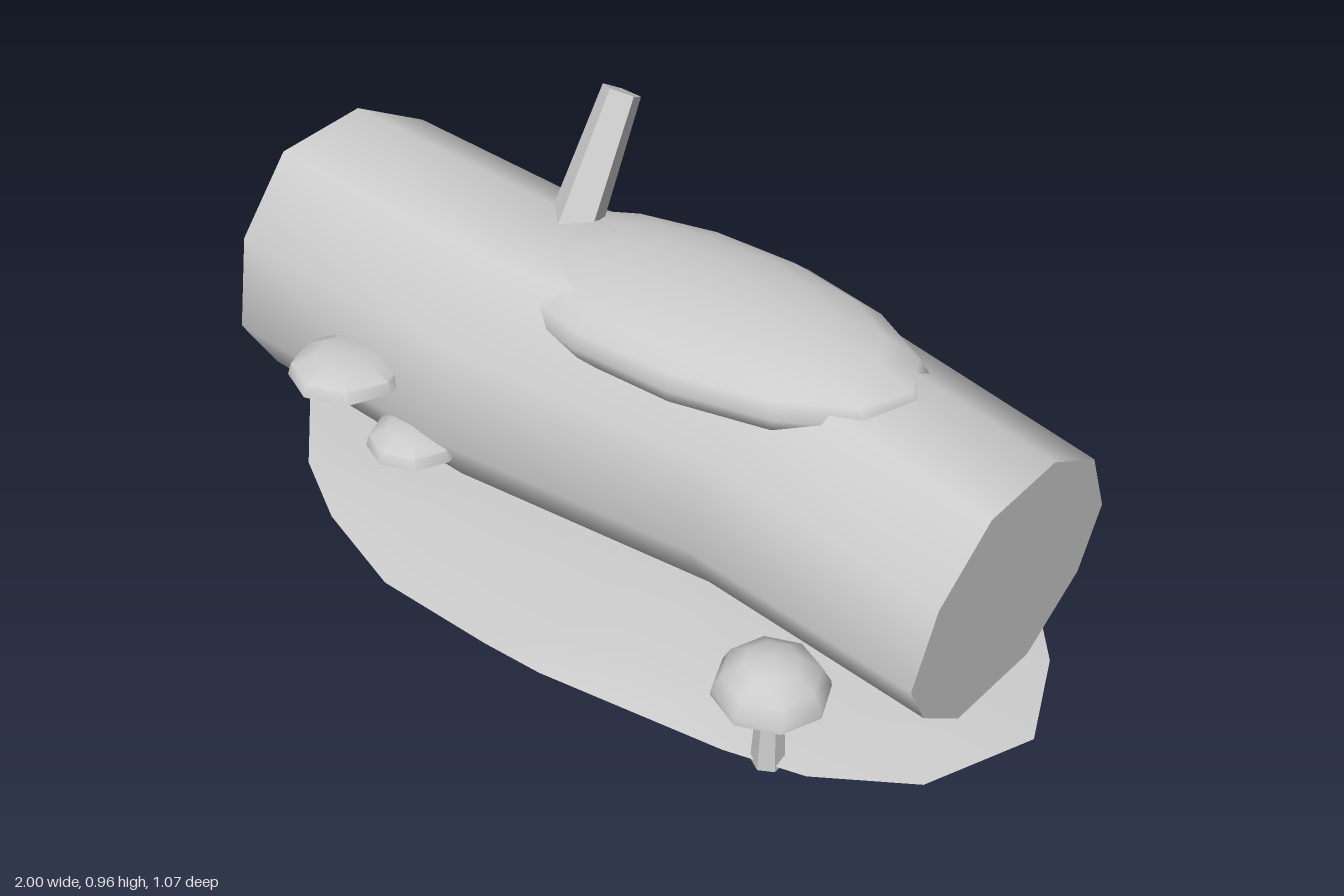
import * as THREE from 'three';
import { toCreasedNormals } from 'three/addons/utils/BufferGeometryUtils.js';

const grey = new THREE.MeshStandardMaterial({ color: 0xcccccc });
grey.name = 'stone grey';

function add(parent, name, geometry) {
  const mesh = new THREE.Mesh(geometry, grey);
  mesh.name = name;
  parent.add(mesh);
  return mesh;
}

function build(points, index) {
  const g = new THREE.BufferGeometry();
  g.setAttribute('position', new THREE.Float32BufferAttribute(points.flat(), 3));
  g.setIndex(index);
  g.computeVertexNormals();
  return g;
}

// Fan from a centre point to a closed ring; flip turns the face around
function fan(center, ring, flip) {
  const n = ring.length, index = [];
  for (let i = 0; i < n; i++) {
    const a = 1 + i, b = 1 + (i + 1) % n;
    index.push(0, ...(flip ? [b, a] : [a, b]));
  }
  return build([center, ...ring], index);
}

// Side strips between consecutive rings of n points
function stripIndex(ringCount, n) {
  const index = [];
  for (let s = 0; s < ringCount - 1; s++) {
    for (let i = 0; i < n; i++) {
      const a = s * n + i, b = s * n + (i + 1) % n;
      index.push(a, a + n, b, b, a + n, b + n);
    }
  }
  return index;
}

// Bent ten-sided log with tilted cut ends
function makeLog() {
  const log = new THREE.Group();
  log.name = 'log';
  // Uneven cross-section: angle in degrees, relative radius
  const outline = [
    [26, 0.95], [63, 1.01], [100, 0.99], [136, 0.98], [174, 1.01],
    [206, 1.01], [243, 1.04], [287, 1.02], [321, 0.97], [348, 1],
  ];
  // x, centre y, centre z, radius, end tilt by z, end tilt by y
  const sections = [
    [-0.905, 0.37, -0.01, 0.34, -0.085, -0.03],
    [-0.28, 0.385, 0.04, 0.335, 0, 0],
    [0.34, 0.37, -0.022, 0.325, 0, 0],
    [0.9, 0.33, 0.025, 0.297, -0.08, 0.08],
  ];
  const rings = sections.map(([x, cy, cz, r, tz, ty]) => outline.map(([deg, k]) => {
    const a = THREE.MathUtils.degToRad(deg);
    const y = r * k * Math.sin(a), z = r * k * Math.cos(a);
    return [x + tz * z + ty * y, cy + y, cz + z];
  }));
  add(log, 'bark', build(rings.flat(), stripIndex(4, outline.length)));
  add(log, 'rightCutEnd', fan(sections[0].slice(0, 3), rings[0], false));
  add(log, 'leftCutEnd', fan(sections[3].slice(0, 3), rings[3], true));
  return log;
}

// Low mound of soil with an uneven oval outline
function makeGround() {
  const ground = new THREE.Group();
  ground.name = 'ground';
  const outline = [
    [-1, 0.02], [-0.9, -0.16], [-0.72, -0.32], [-0.6, -0.4], [-0.33, -0.46], [0.05, -0.47],
    [0.3, -0.5], [0.48, -0.46], [0.8, -0.31], [0.92, -0.16], [1, 0.04], [0.9, 0.28],
    [0.72, 0.41], [0.55, 0.45], [0.33, 0.48], [0.14, 0.52], [0, 0.53], [-0.3, 0.52],
    [-0.55, 0.44], [-0.72, 0.35], [-0.92, 0.16],
  ];
  const n = outline.length;
  const loop = (s, y) => outline.map(([x, z]) => [x * s, y, z * s]);
  const rim = outline.map(([x, z], i) => [x, 0.018 + 0.008 * Math.sin(i * 1.7), z]);
  const points = [...rim, ...loop(0.82, 0.042), ...loop(0.45, 0.06), [0, 0.064, 0]];
  const index = stripIndex(3, n);
  for (let i = 0; i < n; i++) index.push(2 * n + i, 3 * n, 2 * n + (i + 1) % n);
  // Strips run inward from the rim, so reverse them to face up
  const up = new THREE.Vector3().crossVectors(
    new THREE.Vector3(...points[n]).sub(new THREE.Vector3(...points[0])),
    new THREE.Vector3(...points[1]).sub(new THREE.Vector3(...points[0])),
  ).y > 0;
  add(ground, 'soilTop', build(points, up ? index : index.reverse()));
  add(ground, 'soilUnderside', fan([0, 0, 0], rim, false));
  return ground;
}

// Profile points [radius, height] turned into a crisp-rimmed cap
function capGeometry(profile, sides) {
  const pts = profile.map(([r, y]) => new THREE.Vector2(r, y));
  return toCreasedNormals(new THREE.LatheGeometry(pts, sides), 0.95);
}

// Tapered post with flat faces
function post(top, bottom, height, sides) {
  return toCreasedNormals(new THREE.CylinderGeometry(top, bottom, height, sides), 0.5);
}

function makeMushroom(name, x, z, r, rimY, topY, stemR) {
  const m = new THREE.Group();
  m.name = name;
  m.position.set(x, 0, z);
  const h = topY - rimY;
  add(m, 'cap', capGeometry([
    [0, rimY - 0.035], [r * 0.45, rimY - 0.035], [r, rimY - 0.006], [r * 0.99, rimY + h * 0.08],
    [r * 0.83, rimY + h * 0.54], [r * 0.47, rimY + h * 0.89], [0, topY],
  ], 8));
  add(m, 'stem', post(stemR * 0.72, stemR, rimY - 0.02, 6)).position.y = rimY / 2;
  return m;
}

function makeShelf(parent, name, x, y, z, r) {
  const shelf = add(parent, name, capGeometry([
    [0, -0.042], [r * 0.45, -0.038], [r, -0.014], [r * 0.94, 0.012],
    [r * 0.55, 0.033], [0, 0.038],
  ], 8));
  shelf.position.set(x, y, z);
  shelf.rotation.x = -0.04;
}

export function createModel() {
  const model = new THREE.Group();
  model.name = 'fallenLog';
  model.add(makeGround(), makeLog());

  // Moss cushion along the top
  const moss = add(model, 'moss', new THREE.SphereGeometry(1, 14, 10));
  moss.scale.set(0.54, 0.106, 0.25);
  moss.position.set(0.125, 0.614, 0.002);
  moss.rotation.z = 0.02;

  // Broken branch stub leaning back
  const from = new THREE.Vector3(-0.225, 0.58, 0.025);
  const to = new THREE.Vector3(-0.208, 0.937, -0.17);
  const dir = to.clone().sub(from);
  const branch = add(model, 'branchStub', post(0.044, 0.065, dir.length(), 5));
  branch.position.copy(from).add(to).multiplyScalar(0.5);
  branch.quaternion.setFromUnitVectors(new THREE.Vector3(0, 1, 0), dir.normalize());

  // Mushrooms beside the log and shelf fungi on its front
  model.add(
    makeMushroom('frontMushroom', 0.63, 0.41, 0.115, 0.203, 0.28, 0.034),
    makeMushroom('backMushroom', 0.48, -0.405, 0.135, 0.258, 0.356, 0.036),
  );
  makeShelf(model, 'upperShelfFungus', -0.52, 0.398, 0.37, 0.128);
  makeShelf(model, 'lowerShelfFungus', -0.35, 0.28, 0.355, 0.102);
  return model;
}
